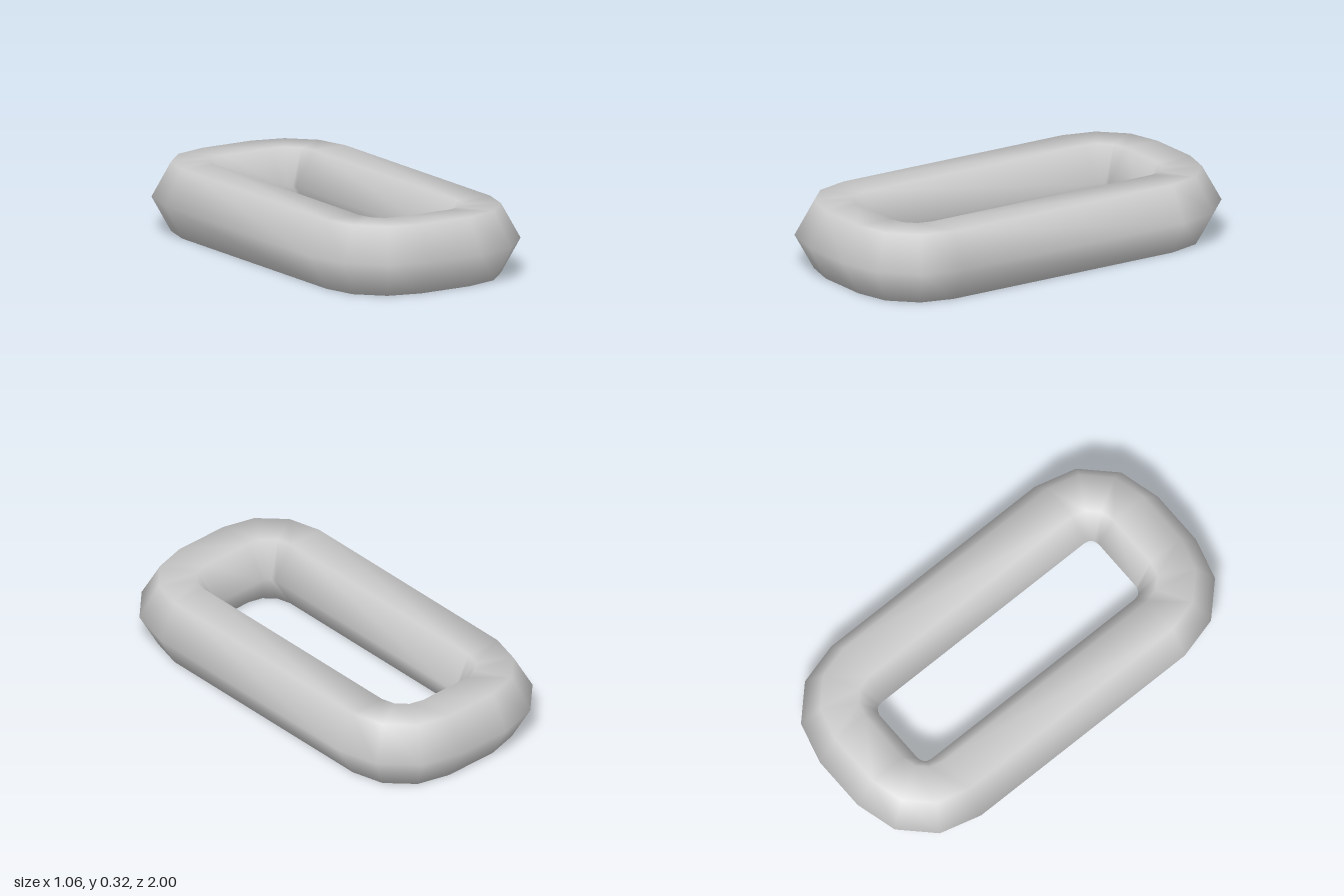
import * as THREE from 'three';

// Closed six-sided bar swept round a rounded rectangle
function linkGeometry() {
  const cx = 0.133, cz = 0.602;      // corner arc centres
  const bend = 0.221;                // bend radius of the bar's centre line
  const halfW = 0.177, halfH = 0.161;
  const sides = 6, steps = 3;
  const positions = [], index = [];

  // Four corners, each a 90 degree bend; the straights join them
  for (let corner = 0; corner < 4; corner++) {
    const sx = corner === 0 || corner === 3 ? 1 : -1;
    const sz = corner < 2 ? 1 : -1;
    for (let s = 0; s <= steps; s++) {
      const a = (corner + s / steps) * Math.PI / 2;
      for (let k = 0; k < sides; k++) {
        const t = k / sides * Math.PI * 2;
        const r = bend + halfW * Math.cos(t);
        const y = halfH * (1 + Math.sin(t) / Math.sin(Math.PI / 3));
        positions.push(sx * cx + r * Math.cos(a), y, sz * cz + r * Math.sin(a));
      }
    }
  }

  const rings = 4 * (steps + 1);
  for (let i = 0; i < rings; i++) {
    const n = (i + 1) % rings;
    for (let k = 0; k < sides; k++) {
      const m = (k + 1) % sides;
      const a = i * sides + k, b = i * sides + m;
      const c = n * sides + m, d = n * sides + k;
      index.push(a, b, c, a, c, d);
    }
  }

  const geometry = new THREE.BufferGeometry();
  geometry.setAttribute('position', new THREE.Float32BufferAttribute(positions, 3));
  geometry.setIndex(index);
  geometry.computeVertexNormals();
  return geometry;
}

export function createModel() {
  const group = new THREE.Group();
  group.name = 'chainLink';
  const link = new THREE.Mesh(linkGeometry(), new THREE.MeshStandardMaterial({ color: 0xcccccc }));
  link.name = 'link';
  group.add(link);
  return group;
}
